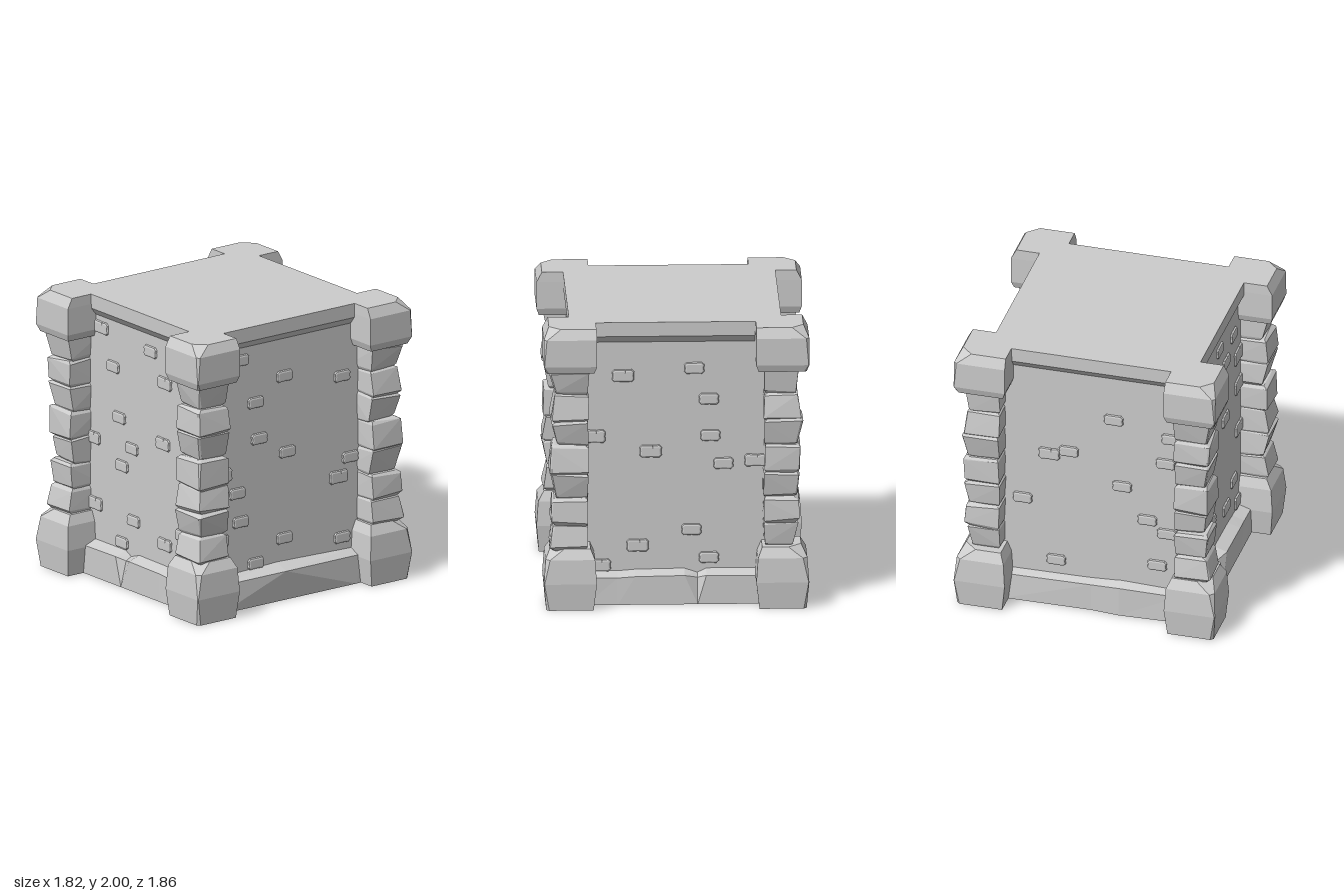
import * as THREE from 'three';
import { ConvexGeometry } from 'three/addons/geometries/ConvexGeometry.js';

const WALL = 0.69;
const stone = new THREE.MeshStandardMaterial({ color: 0xcccccc, flatShading: true });

let seed = 7;
const jitter = (amount) => {
  seed = (seed * 16807) % 2147483647;
  return (seed / 2147483647 - 0.5) * 2 * amount;
};

function add(parent, name, geometry, x = 0, y = 0, z = 0) {
  const mesh = new THREE.Mesh(geometry, stone);
  mesh.name = name;
  mesh.position.set(x, y, z);
  parent.add(mesh);
  return mesh;
}

// Convex rock from level rings [y, inner, outer, cornerCut, tilt] in the (sx, sz) corner
function cornerRock(rings, sx, sz, rough) {
  const points = [];
  for (const [y, inner, outer, cut, tilt = 0] of rings) {
    const oz = outer + 0.02, iz = inner + 0.02;
    const outline = [[inner, iz], [outer, iz], [outer, oz - cut], [outer - cut, oz], [inner, oz]];
    for (const [a, b] of outline) {
      const lean = tilt * ((a + b) / 2 - 0.74) / 0.13;
      points.push(new THREE.Vector3(
        sx * (a + jitter(rough)), y + lean + jitter(rough), sz * (b + jitter(rough))));
    }
  }
  return new ConvexGeometry(points);
}

// Plinth strip: stations [along, outerBottom, outerTop, lipHeight, wallHeight, alongBottom]
function plinthGeometry(stations) {
  const pos = [];
  const section = ([s, o0, o1, y1, y2, sb = s]) => [
    [sb, 0, WALL - 0.05], [sb, 0, o0], [s, y1, o1], [s, y2, WALL - 0.005]];
  for (let i = 0; i < stations.length - 1; i++) {
    const a = section(stations[i]), b = section(stations[i + 1]);
    for (let k = 0; k < 3; k++) {
      pos.push(...a[k], ...b[k], ...b[k + 1], ...a[k], ...b[k + 1], ...a[k + 1]);
    }
  }
  const g = new THREE.BufferGeometry();
  g.setAttribute('position', new THREE.Float32BufferAttribute(pos, 3));
  g.computeVertexNormals();
  return g;
}

// Small raised brick with gently waisted sides, some with a chip in the top edge
function brickGeometry(w, h, chipped) {
  const x = w / 2 - 0.014, y = h / 2 - 0.014, c = 0.008;
  const outline = [[-x + c, -y], [0, -y + 0.002], [x - c, -y], [x, -y + c], [x - 0.003, 0], [x, y - c], [x - c, y]];
  if (chipped) outline.push([0.024, y - 0.002], [0.015, y - 0.016], [0.006, y - 0.002]);
  outline.push([-x + c, y], [-x, y - c], [-x + 0.003, 0], [-x, -y + c]);
  const shape = new THREE.Shape(outline.map(([a, b]) => new THREE.Vector2(a, b)));
  return new THREE.ExtrudeGeometry(shape, {
    depth: 0.018, bevelEnabled: true, bevelSize: 0.014, bevelThickness: 0.014, bevelSegments: 2, curveSegments: 1,
  });
}

const notched = [
  [-0.62, 0.78, 0.78, 0.2, 0.235], [-0.21, 0.78, 0.78, 0.205, 0.235, -0.15], [-0.15, 0.78, 0.735, 0.18, 0.205, -0.15],
  [-0.06, 0.78, 0.78, 0.205, 0.235, -0.15], [0.28, 0.78, 0.78, 0.2, 0.23], [0.4, 0.78, 0.775, 0.19, 0.22],
  [0.62, 0.78, 0.78, 0.195, 0.225],
];
const flip = (list) => list.map(([s, o0, o1, y1, y2, sb = s]) => [-s, o0, o1, y1, y2, -sb]).reverse();
const bulged = [
  [-0.62, 0.77, 0.765, 0.2, 0.235], [-0.08, 0.775, 0.805, 0.215, 0.255, 0.55], [0.62, 0.77, 0.765, 0.2, 0.235],
];
const shallow = [
  [-0.62, 0.735, 0.725, 0.19, 0.235], [0, 0.73, 0.73, 0.2, 0.24], [0.2, 0.75, 0.75, 0.215, 0.25],
  [0.62, 0.735, 0.73, 0.2, 0.235],
];

// Each side: turn about y, plinth stations, bricks as [along, height, scale]
const sides = [
  { name: 'front', turn: 0, plinth: notched, bricks: [
    [-0.48, 1.77, 1.1], [0.07, 1.73], [0.42, 1.65], [-0.35, 1.52], [0.23, 1.54, 1.1], [0.54, 1.43, 1.35],
    [-0.28, 1.17], [0.55, 1.19, 1.35], [0.21, 1.1, 1.1], [-0.57, 0.96, 1.1], [-0.14, 0.98], [-0.25, 0.83],
    [0.55, 0.84, 1.2], [-0.55, 0.49, 1.15], [-0.12, 0.465], [0.42, 0.49], [0.23, 0.38, 1.1], [-0.25, 0.28],
    [0.53, 0.27, 1.2]] },
  { name: 'plusX', turn: Math.PI / 2, plinth: bulged, bricks: [
    [-0.39, 1.76], [-0.57, 1.65, 1.1], [-0.01, 1.58], [0.49, 1.485], [-0.26, 1.435], [-0.23, 1.17], [0.015, 1.03],
    [-0.55, 0.96, 1.2], [0.56, 0.89], [-0.42, 0.81], [0.46, 0.765, 1.15], [-0.39, 0.6], [-0.57, 0.49, 1.1],
    [-0.01, 0.415], [0.49, 0.325], [-0.26, 0.28]] },
  { name: 'back', turn: Math.PI, plinth: flip(notched), bricks: [
    [-0.36, 1.61, 1.1], [0.13, 1.66], [0.23, 1.44], [-0.56, 1.18, 1.15], [-0.17, 1.07, 1.1], [0.24, 1.18],
    [0.33, 0.98], [0.55, 1.0, 1.1], [0.11, 0.51], [-0.26, 0.4, 1.1], [0.23, 0.31], [-0.52, 0.26, 1.1]] },
  { name: 'minusX', turn: -Math.PI / 2, plinth: shallow, bricks: [
    [0.56, 1.43], [0.15, 1.52], [0.52, 1.23], [0.21, 1.0], [-0.17, 1.22], [-0.31, 1.18, 1.1], [0.39, 0.76],
    [0.53, 0.67], [0.46, 0.41], [-0.26, 0.34], [-0.5, 0.8]] },
];

// Pillar stones: joint heights and outer reach at [bottom, top]
const joints = [0.43, 0.6, 0.78, 0.96, 1.155, 1.34, 1.52, 1.7];
const reachMinus = [[0.86, 0.835], [0.825, 0.845], [0.81, 0.835], [0.85, 0.845], [0.825, 0.85], [0.85, 0.855], [0.835, 0.87]];
const reachPlus = [[0.865, 0.84], [0.835, 0.87], [0.87, 0.845], [0.865, 0.855], [0.825, 0.865], [0.87, 0.855], [0.825, 0.86]];

export function createModel() {
  const model = new THREE.Group();
  model.name = 'stoneTower';

  // Core and cornice
  add(model, 'core', new THREE.BoxGeometry(WALL * 2, 1.98, WALL * 2), 0, 0.99, 0);
  add(model, 'corniceSlab', new THREE.BoxGeometry(1.46, 0.1, 1.46), 0, 1.95, 0);
  const slope = new THREE.CylinderGeometry(0.73 * Math.SQRT2, WALL * Math.SQRT2, 0.05, 4, 1, true);
  add(model, 'corniceSlope', slope.rotateY(Math.PI / 4), 0, 1.875, 0);

  // Four walls with plinth and scattered bricks
  for (const { name, turn, plinth, bricks } of sides) {
    const side = new THREE.Group();
    side.name = name + 'Side';
    side.rotation.y = turn;
    add(side, 'plinth', plinthGeometry(plinth));
    bricks.forEach(([x, y, s = 1]) => {
      const brick = add(side, 'brick', brickGeometry(0.138 * s, 0.082 * s, s > 1), x, y, WALL - 0.016);
      brick.rotation.z = s > 1.3 ? 0.05 : 0;
    });
    model.add(side);
  }

  // Four corner pillars: foot, seven rough stones, cap
  for (const sx of [-1, 1]) for (const sz of [-1, 1]) {
    const pillar = new THREE.Group();
    pillar.name = 'cornerPillar';
    const reach = sx < 0 ? reachMinus : reachPlus;
    const shift = sz < 0 ? 2 : 0;
    add(pillar, 'pillarFoot', cornerRock([
      [0, 0.57, 0.895, 0.02], [0.19, 0.548, 0.912, 0.004], [0.36, 0.56, 0.9, 0.03], [0.43, 0.59, 0.86, 0.09],
    ], sx, sz, 0));
    for (let i = 0; i < 7; i++) {
      const [low, high] = reach[(i + shift) % 7];
      const y0 = joints[i], y1 = joints[i + 1], tilt = jitter(0.016);
      add(pillar, 'pillarStone', cornerRock([
        [y0 - 0.01, 0.62, low - 0.025, 0.015, tilt], [y0 + 0.015, 0.605, low, 0.008, tilt],
        [y1 - 0.015, 0.605, high, 0.008, -tilt], [y1 + 0.002, 0.62, high - 0.02, 0.015, -tilt],
      ], sx, sz, 0.006));
    }
    add(pillar, 'pillarCap', cornerRock([
      [1.69, 0.565, 0.895, 0.015], [1.74, 0.547, 0.912, 0.004], [1.93, 0.547, 0.912, 0.02], [2, 0.55, 0.875, 0.08],
    ], sx, sz, 0));
    model.add(pillar);
  }
  return model;
}
